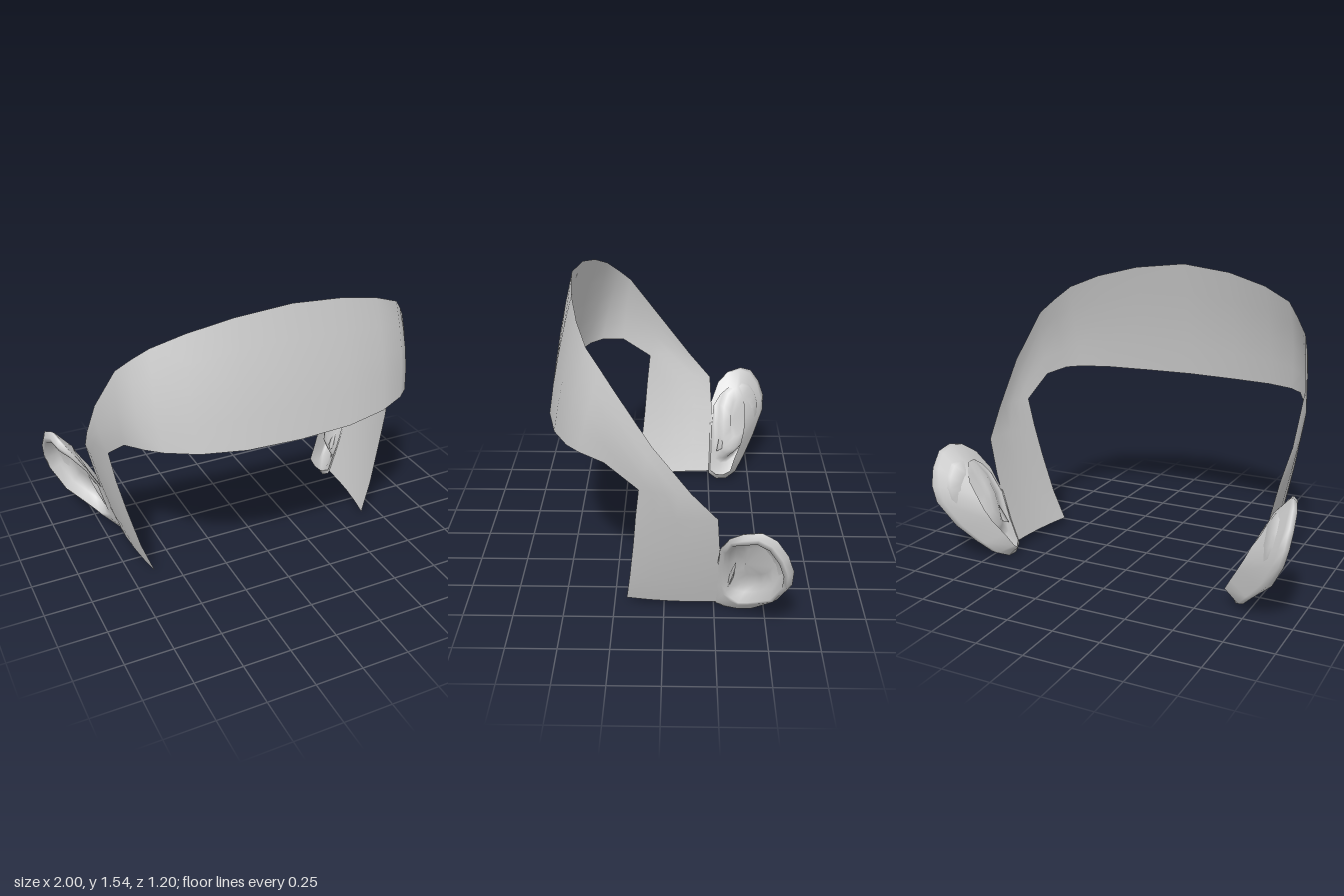
import * as THREE from 'three';
import { mergeVertices } from 'three/addons/utils/BufferGeometryUtils.js';

const material = new THREE.MeshStandardMaterial({ color: 0xcccccc, side: THREE.DoubleSide });
const vec = ([x, y, z]) => new THREE.Vector3(x, y, z);
const { clamp } = THREE.MathUtils;

// Smooth skin stretched over cross-sections that share a point count
function loft(name, sections, closed = false) {
  const n = sections[0].length, index = [];
  for (let i = 0; i < sections.length - 1; i++) {
    for (let j = 0; j < (closed ? n : n - 1); j++) {
      const k = (j + 1) % n;
      const a = i * n + j, b = i * n + k, c = a + n, d = b + n;
      index.push(a, c, b, b, c, d);
    }
  }
  let geometry = new THREE.BufferGeometry().setFromPoints(sections.flat());
  geometry.setIndex(index);
  geometry = mergeVertices(geometry, 1e-4);
  geometry.computeVertexNormals();
  const mesh = new THREE.Mesh(geometry, material);
  mesh.name = name;
  return mesh;
}

// Lower/front edge and upper/back edge, from the middle of the brow to the jaw
const bandEdges = [
  [[0, 0.89, 0.597], [0, 1.54, 0.47]],
  [[0.28, 0.89, 0.58], [0.28, 1.51, 0.445]],
  [[0.5, 0.897, 0.53], [0.5, 1.455, 0.4]],
  [[0.65, 0.903, 0.455], [0.655, 1.39, 0.345]],
  [[0.72, 0.902, 0.39], [0.725, 1.32, 0.28]],
  [[0.78, 0.88, 0.27], [0.785, 1.25, 0.22]],
  [[0.815, 0.76, 0.113], [0.847, 1.0, 0.05]],
  [[0.815, 0.76, 0.113], [0.85, 0.76, -0.13]],
  [[0.79, 0.6, 0.13], [0.832, 0.615, -0.255]],
  [[0.75, 0.42, 0.145], [0.788, 0.42, -0.268]],
  [[0.695, 0.2, 0.168], [0.73, 0.2, -0.265]],
  [[0.635, 0.03, 0.188], [0.677, 0.04, -0.26]],
];

// Forehead and both temple panels as one continuous skin
function createBand() {
  const half = bandEdges.map(([low, high]) => {
    const a = vec(low), b = vec(high);
    return [0, 0.25, 0.5, 0.75, 1].map((t) => {
      const p = a.clone().lerp(b, t);
      const bulge = 1 + 0.08 * t * (1 - t);
      return p.set(p.x * bulge, p.y, p.z * bulge);
    });
  });
  const mirrored = half.slice(1).reverse()
    .map((s) => s.map((p) => new THREE.Vector3(-p.x, p.y, p.z)));
  return loft('foreheadAndTemples', [...mirrored, ...half]);
}

// Outer rim of the ear, from the lobe joint up the front, over and down the back
const rim = [
  [0.677, 0.045, -0.26], [0.72, 0.17, -0.264], [0.762, 0.32, -0.266], [0.83, 0.45, -0.27],
  [0.9, 0.555, -0.31], [0.94, 0.605, -0.37], [0.96, 0.625, -0.45], [0.982, 0.6, -0.515],
  [0.985, 0.52, -0.57], [0.975, 0.43, -0.6], [0.95, 0.34, -0.598], [0.875, 0.2, -0.54],
  [0.785, 0.1, -0.48], [0.725, 0.035, -0.43], [0.685, 0.005, -0.37], [0.67, 0.01, -0.31],
].map(vec);

// Open edge behind the ear, point for point with the rim
const backEdge = [
  [0.67, 0.05, -0.262], [0.715, 0.17, -0.267], [0.757, 0.32, -0.27], [0.815, 0.43, -0.285],
  [0.845, 0.49, -0.325], [0.865, 0.525, -0.37], [0.86, 0.525, -0.42], [0.845, 0.485, -0.455],
  [0.82, 0.43, -0.472], [0.775, 0.36, -0.475], [0.74, 0.29, -0.468], [0.7, 0.22, -0.45],
  [0.65, 0.14, -0.41], [0.612, 0.075, -0.385], [0.62, 0.045, -0.34], [0.645, 0.03, -0.3],
].map(vec);

function createEar(side) {
  const ear = new THREE.Group();
  ear.name = side > 0 ? 'leftEar' : 'rightEar';
  const place = (p) => new THREE.Vector3(p.x * side, p.y, p.z);
  const centre = vec([0.835, 0.35, -0.42]);
  const hollow = vec([0.785, 0.34, -0.39]);
  const inward = vec([-0.81, 0.29, -0.51]);

  // Rings from the open back edge, round the thick lip and into the hollow
  const shoulder = rim.map((p, i) => p.clone().lerp(backEdge[i], 0.2).lerp(centre, -0.05));
  const lobe = rim.map((p) => clamp((0.2 - p.y) / 0.15, 0, 1));
  const lip = rim.map((p) => clamp((-0.26 - p.z) / 0.1, 0, 1));
  const ring = (t, depth, swell) => rim.map((p, i) =>
    p.clone().lerp(centre, t + 0.15 * lobe[i] * (1 - t))
      .addScaledVector(inward, depth - swell * lip[i]));
  const rings = [backEdge, shoulder, rim, ring(0.07, 0, 0.03), ring(0.16, 0, 0.036),
    ring(0.26, 0.015, 0), ring(0.36, 0.042, 0), ring(0.6, 0.052, 0), rim.map(() => hollow)];
  ear.add(loft('earShell', rings.map((r) => r.map(place)), true));

  // Small pointed flap in front of the ear hollow
  const flap = [
    [[0.81, 0.37, -0.345], [0.81, 0.37, -0.345], [0.81, 0.37, -0.345]],
    [[0.755, 0.28, -0.325], [0.78, 0.28, -0.335], [0.755, 0.28, -0.345]],
    [[0.7, 0.165, -0.3], [0.735, 0.17, -0.315], [0.71, 0.18, -0.335]],
  ];
  ear.add(loft('earFlap', flap.map((s) => s.map((p) => place(vec(p)))), true));
  return ear;
}

export function createModel() {
  const model = new THREE.Group();
  model.name = 'foreheadBandWithEars';
  model.add(createBand(), createEar(1), createEar(-1));
  return model;
}
